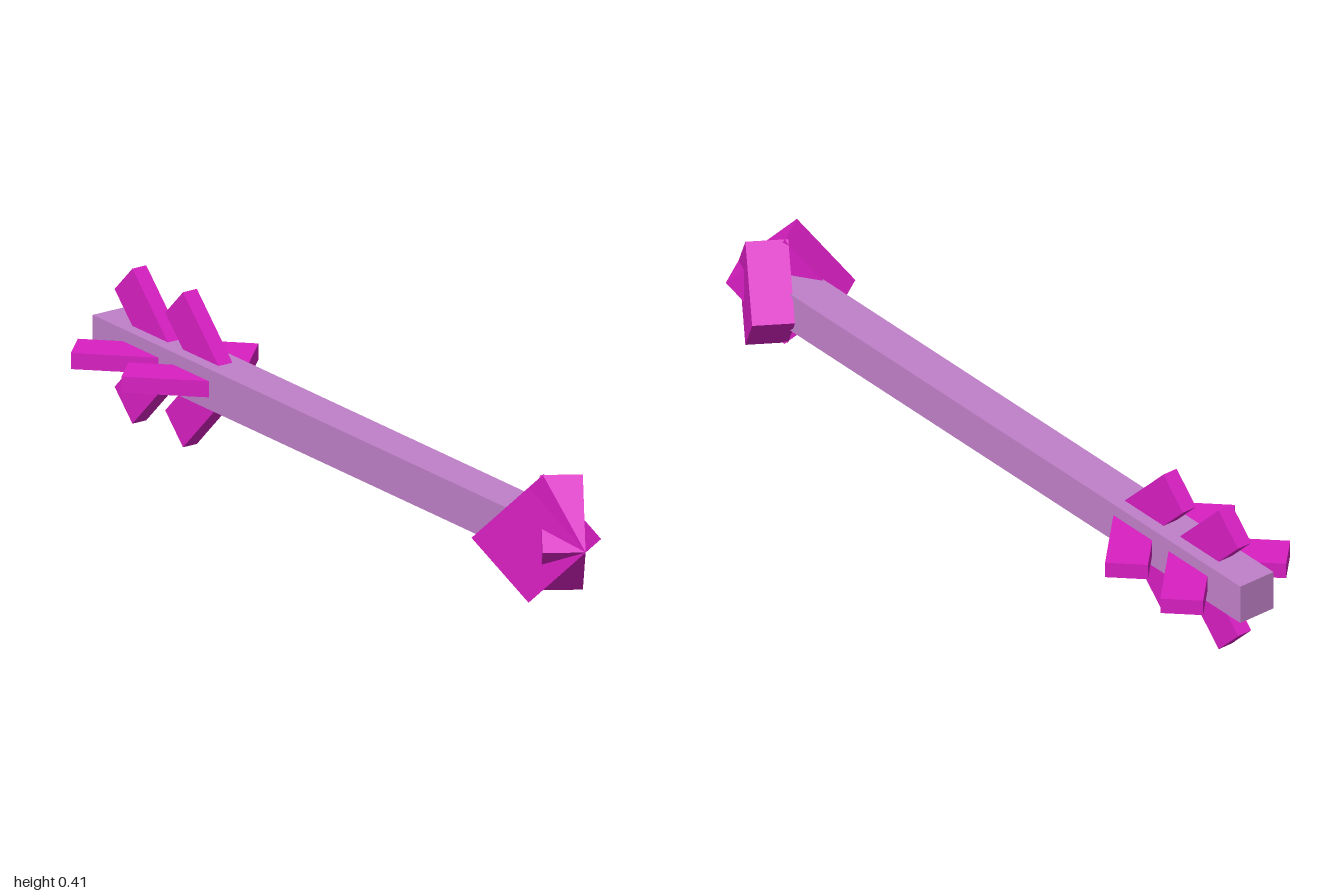
import * as THREE from 'three';

const AXIS_Y = 0.2025; // height of the shaft's centre line

export function createModel() {
  const arrow = new THREE.Group();
  arrow.name = 'arrow';
  const wood = new THREE.MeshStandardMaterial({ color: 0xc080c8, flatShading: true });
  const pink = new THREE.MeshStandardMaterial({ color: 0xd81fc2, flatShading: true });

  const addBox = (parent, name, material, size, position) => {
    const mesh = new THREE.Mesh(new THREE.BoxGeometry(...size), material);
    mesh.name = name;
    mesh.position.set(...position);
    parent.add(mesh);
    return mesh;
  };

  // Square shaft, its front end buried in the head
  addBox(arrow, 'shaft', wood, [0.106, 0.106, 1.84], [0, AXIS_Y, -0.08]);

  // Head: two square plates standing on a corner, swept back and crossing at the tip
  const head = new THREE.Group();
  head.name = 'head';
  arrow.add(head);
  const side = 0.301 / Math.SQRT2;
  for (const s of [1, -1]) {
    const plate = addBox(head, s > 0 ? 'headPlateLeft' : 'headPlateRight', pink,
      [0.106, side, side], [s * 0.038, AXIS_Y, 0.8455]);
    plate.rotation.order = 'YXZ';
    plate.rotation.set(Math.PI / 4, -s * 0.58, 0);
  }

  // Fletching: two rows of four slanted vanes around the shaft
  ['top', 'right', 'bottom', 'left'].forEach((where, i) => {
    const vanes = new THREE.Group();
    vanes.name = where + 'Fletching';
    vanes.position.y = AXIS_Y;
    vanes.rotation.z = i * Math.PI / 2;
    arrow.add(vanes);
    const radius = i % 2 ? 0.093 : 0.088;
    for (const z of [-0.625, -0.838]) {
      const vane = addBox(vanes, 'vane', pink, [0.042, 0.218, 0.106], [0, radius, z]);
      vane.rotation.x = -Math.PI / 4;
    }
  });

  return arrow;
}
